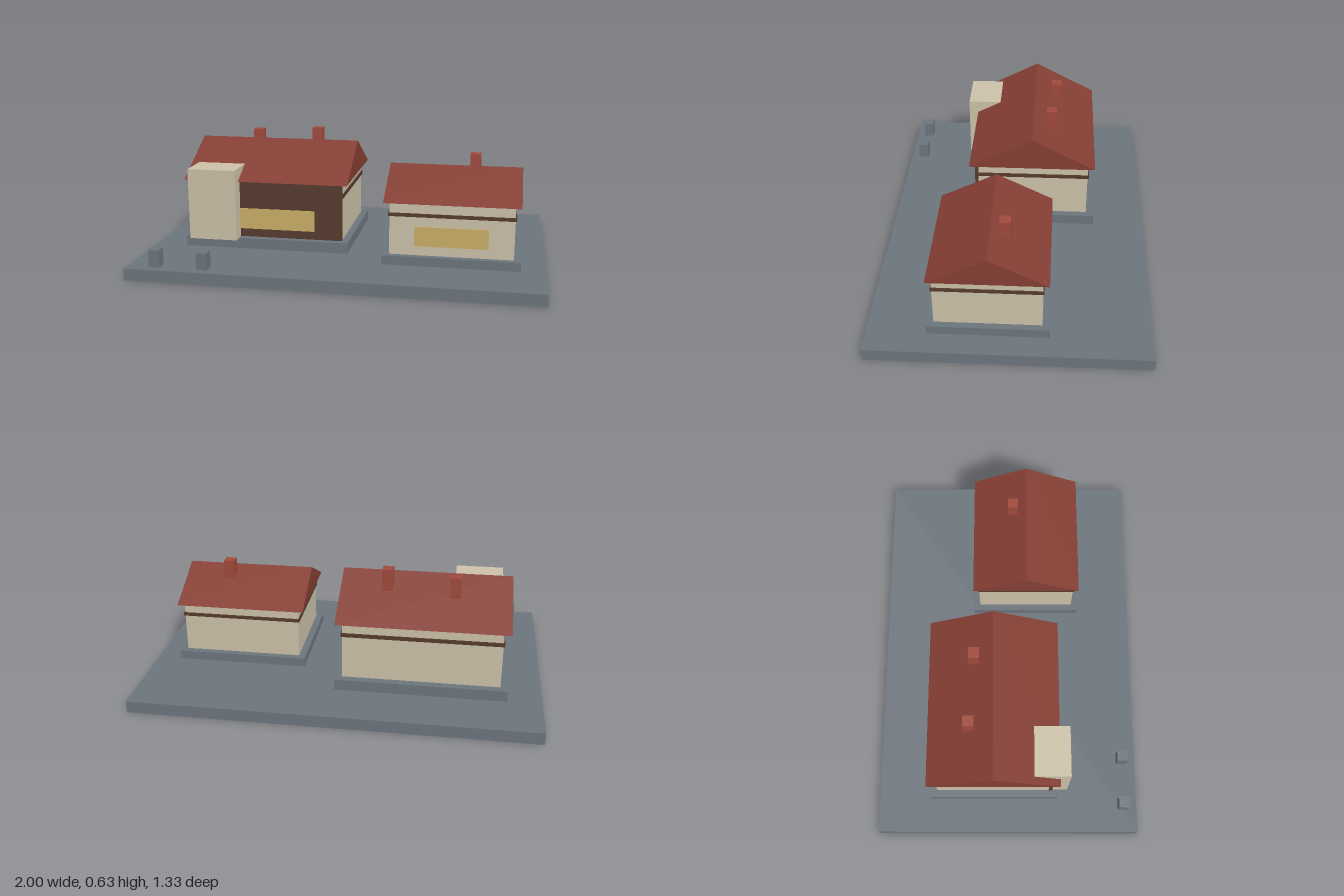
import * as THREE from 'three';

const material = (name, color) => {
  const m = new THREE.MeshStandardMaterial({ color });
  m.name = name;
  return m;
};

export function createModel() {
  const model = new THREE.Group();
  model.name = 'twoHouses';

  const stone = material('slate grey', 0x6c747c);
  const plaster = material('cream plaster', 0xcbc0a8);
  const timber = material('dark timber', 0x563a2c);
  const tile = material('roof tile red', 0x843e33);
  const brick = material('chimney red', 0xa0493b);
  const glass = material('warm glass', 0xc8ae66);

  // Box given by its extents on each axis
  function box(parent, name, mat, [x0, x1], [y0, y1], [z0, z1]) {
    const mesh = new THREE.Mesh(new THREE.BoxGeometry(x1 - x0, y1 - y0, z1 - z0), mat);
    mesh.position.set((x0 + x1) / 2, (y0 + y1) / 2, (z0 + z1) / 2);
    mesh.name = name;
    parent.add(mesh);
    return mesh;
  }

  // Solid gabled roof with its ridge along x
  function gableRoof(parent, [x0, x1], [y0, y1], [z0, z1]) {
    const shape = new THREE.Shape();
    shape.moveTo(-z1, y0);
    shape.lineTo(-z0, y0);
    shape.lineTo(-(z0 + z1) / 2, y1);
    shape.closePath();
    const geo = new THREE.ExtrudeGeometry(shape, { depth: x1 - x0, bevelEnabled: false });
    geo.rotateY(Math.PI / 2);
    geo.translate(x0, 0, 0);
    const roof = new THREE.Mesh(geo, tile);
    roof.name = 'roof';
    parent.add(roof);
  }

  // Plinth, walls, timber band, roof and chimneys
  function house(name, o) {
    const g = new THREE.Group();
    g.name = name;
    const grow = ([a, b], d) => [a - d, b + d];
    box(g, 'plinth', stone, o.plinthX, [0.06, o.floor], o.plinthZ);
    box(g, 'walls', plaster, o.x, [o.floor, o.eave], o.z);
    box(g, 'timberBand', timber, grow(o.x, 0.006), o.band, grow(o.z, 0.006));
    gableRoof(g, o.roofX, [o.eave, o.ridge], o.roofZ);
    for (const [x, z, top] of o.chimneys) {
      box(g, 'chimney', brick, [x - 0.027, x + 0.027], [o.eave, top], [z - 0.027, z + 0.027]);
    }
    model.add(g);
    return g;
  }

  box(model, 'ground', stone, [-1, 1], [0, 0.06], [-0.667, 0.667]);

  // Larger house with timber front and stair tower
  const main = house('mainHouse', {
    plinthX: [-0.83, 0.02], plinthZ: [-0.405, 0.255], floor: 0.115,
    x: [-0.795, -0.015], z: [-0.365, 0.215], band: [0.336, 0.355],
    roofX: [-0.83, 0.017], roofZ: [-0.4, 0.256], eave: 0.411, ridge: 0.582,
    chimneys: [[-0.552, -0.19, 0.61], [-0.217, -0.168, 0.63]],
  });
  box(main, 'timberFront', timber, [-0.797, -0.013], [0.117, 0.41], [0.21, 0.228]);
  box(main, 'frontWindow', glass, [-0.655, -0.155], [0.16, 0.267], [0.226, 0.233]);
  box(main, 'tower', plaster, [-0.792, -0.545], [0.115, 0.478], [0.125, 0.305]);

  // Smaller house
  const side = house('smallHouse', {
    plinthX: [0.21, 0.88], plinthZ: [-0.19, 0.382], floor: 0.105,
    x: [0.245, 0.847], z: [-0.155, 0.35], band: [0.298, 0.315],
    roofX: [0.216, 0.875], roofZ: [-0.185, 0.375], eave: 0.366, ridge: 0.506,
    chimneys: [[0.64, 0.025, 0.555]],
  });
  box(side, 'frontWindow', glass, [0.368, 0.724], [0.153, 0.25], [0.349, 0.357]);

  // Gate posts
  for (const x of [-0.86, -0.62]) {
    box(model, 'gatePost', stone, [x - 0.027, x + 0.027], [0.06, 0.145], [0.57, 0.624]);
  }
  return model;
}
